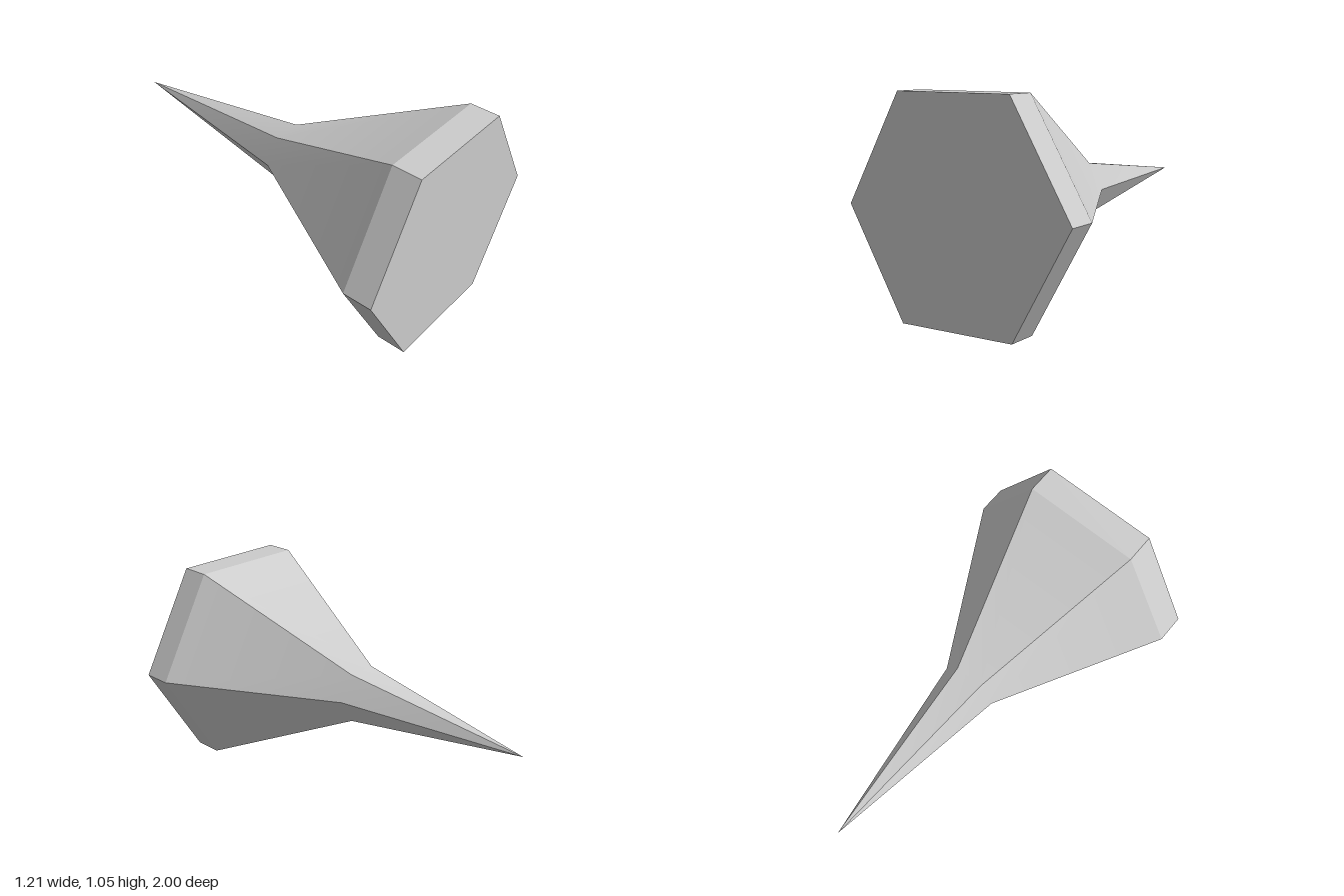
import * as THREE from 'three';
import { toCreasedNormals } from 'three/addons/utils/BufferGeometryUtils.js';

export function createModel() {
  const group = new THREE.Group();
  group.name = 'hexagonalSpike';

  const lightGrey = new THREE.MeshStandardMaterial({ color: 0xcccccc });
  lightGrey.name = 'lightGrey';

  // Profile from the flat front cap to the rear point: [radius, distance along axis]
  const profile = [
    [0, -1],
    [0.607, -1], // hexagonal rim
    [0.607, -0.85],
    [0.15, 0], // waist
    [0, 1], // rear point
  ].map(([r, y]) => new THREE.Vector2(r, y));

  // Six-sided body; side edges stay sharp, the shallow waist is smooth
  const lathe = new THREE.LatheGeometry(profile, 6, Math.PI / 2);
  lathe.rotateX(-Math.PI / 2);
  const body = new THREE.Mesh(toCreasedNormals(lathe, THREE.MathUtils.degToRad(21)), lightGrey);
  body.name = 'spikeBody';
  body.position.y = 0.607 * Math.sin(Math.PI / 3); // rests on its lower flat side
  group.add(body);

  return group;
}
